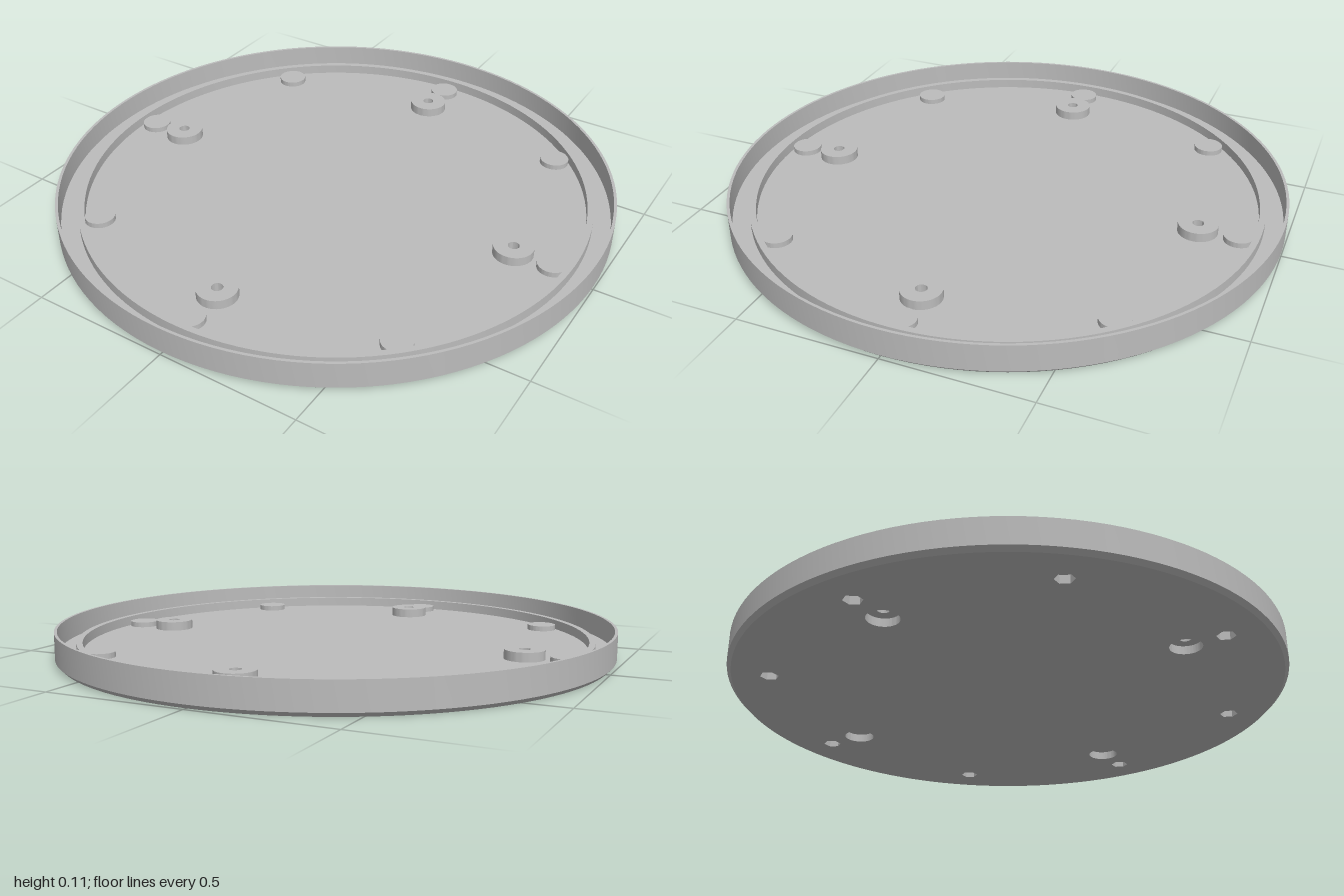
import * as THREE from 'three';
import { toCreasedNormals } from 'three/addons/utils/BufferGeometryUtils.js';

const FLOOR = 0.03;

export function createModel() {
  const model = new THREE.Group();
  const grey = new THREE.MeshStandardMaterial({ color: 0xbcbcbc });
  grey.name = 'plain grey';

  const add = (name, geometry) => {
    const mesh = new THREE.Mesh(toCreasedNormals(geometry, 0.5), grey);
    mesh.name = name;
    model.add(mesh);
    return mesh;
  };
  const circle = (Type, x, y, r) => new Type().absarc(x, y, r, 0, Math.PI * 2, false);
  const hexagon = (x, y, r) => new THREE.Path(Array.from({ length: 6 }, (_, i) =>
    new THREE.Vector2(x + r * Math.cos(i * Math.PI / 3), y + r * Math.sin(i * Math.PI / 3))));
  // Upright slab of a flat outline, standing on y = base
  const slab = (shape, base, height, curveSegments) =>
    new THREE.ExtrudeGeometry(shape, { depth: height, bevelEnabled: false, curveSegments })
      .rotateX(-Math.PI / 2).translate(0, base, 0);
  const ring = (points) =>
    new THREE.LatheGeometry(points.map(([r, y]) => new THREE.Vector2(r, y)), 128);
  const around = (count, radius) => Array.from({ length: count }, (_, i) => {
    const a = i * Math.PI * 2 / count;
    return [radius * Math.cos(a), radius * Math.sin(a)];
  });

  const bosses = around(4, 0.71);
  const pegs = around(8, 0.853);

  // Floor plate with round and hexagonal recesses open underneath
  const floor = circle(THREE.Shape, 0, 0, 0.985);
  bosses.forEach(([x, y]) => floor.holes.push(circle(THREE.Path, x, y, 0.056)));
  pegs.forEach(([x, y]) => floor.holes.push(hexagon(x, y, 0.033)));
  add('floorPlate', slab(floor, 0, FLOOR, 64));

  // Thin outer wall with a chamfered foot
  add('outerRim', ring([[0.985, 0], [1, 0.015], [1, 0.11], [0.99, 0.11], [0.99, FLOOR], [0.985, FLOOR]]));

  // Low inner ridge, leaving a groove behind it
  add('innerRidge', ring([[0.927, FLOOR], [0.927, 0.065], [0.905, 0.065], [0.905, FLOOR]]));

  // Screw bosses with through holes, closing the round recesses
  for (const [x, y] of bosses) {
    const boss = circle(THREE.Shape, 0, 0, 0.07);
    boss.holes.push(circle(THREE.Path, 0, 0, 0.02));
    add('screwBoss', slab(boss, FLOOR, 0.033, 32)).position.set(x, 0, -y);
  }

  // Round pegs, closing the hexagonal recesses
  for (const [x, y] of pegs) {
    add('peg', slab(circle(THREE.Shape, 0, 0, 0.053), FLOOR, 0.019, 32)).position.set(x, 0, -y);
  }

  return model;
}
